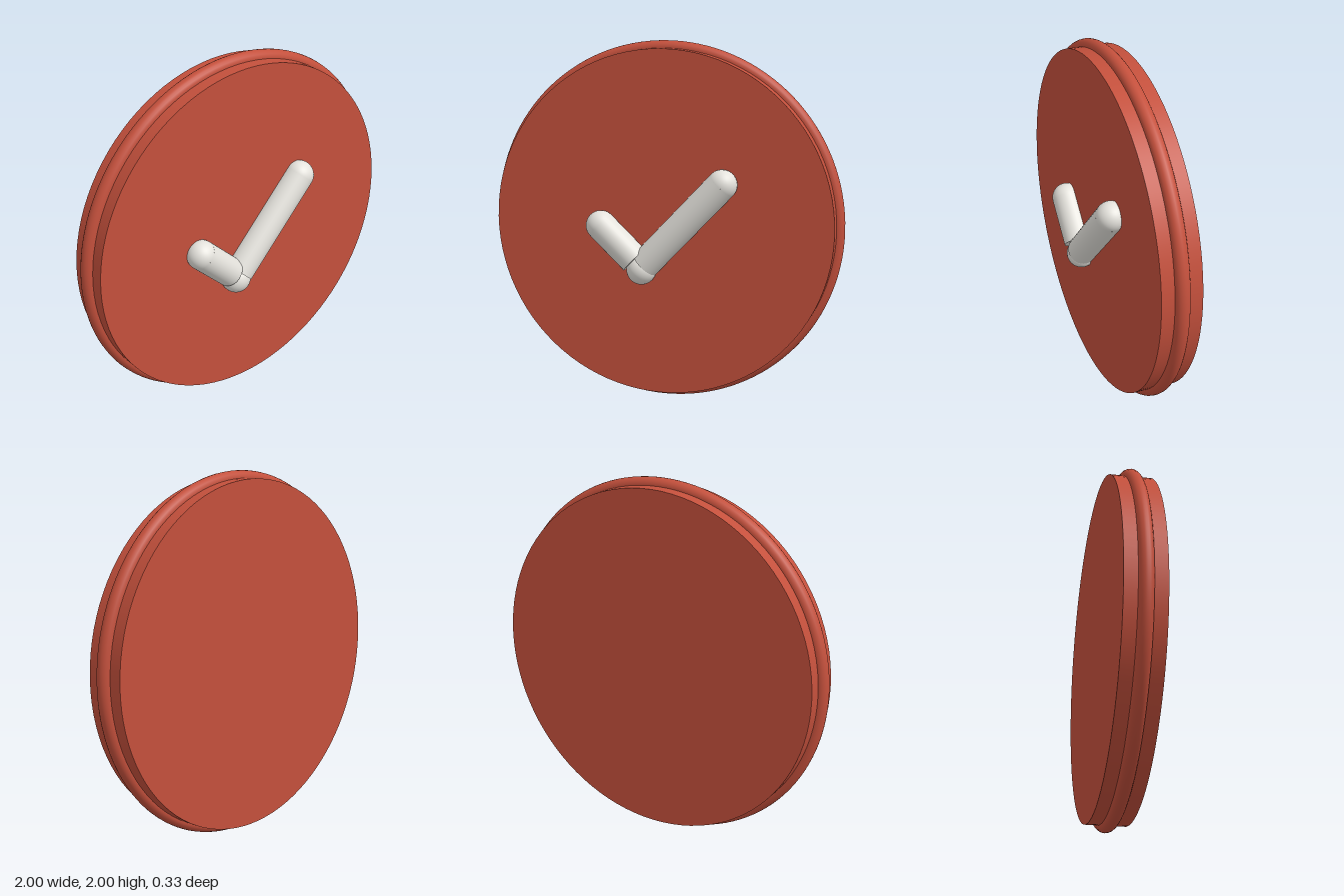
import * as THREE from 'three';

export function createModel() {
  const model = new THREE.Group();
  const red = new THREE.MeshStandardMaterial({ color: 0xc4503c });
  red.name = 'brick red';
  const white = new THREE.MeshStandardMaterial({ color: 0xe4e2dc });
  white.name = 'off white';

  const add = (parent, name, geometry, material, x, y, z) => {
    const mesh = new THREE.Mesh(geometry, material);
    mesh.name = name;
    mesh.position.set(x, y, z);
    parent.add(mesh);
    return mesh;
  };

  // Round badge standing on edge, with a half-sunk bead around its rim
  const disc = new THREE.CylinderGeometry(0.96, 0.96, 0.224, 96).rotateX(Math.PI / 2);
  add(model, 'disc', disc, red, 0, 1, -0.056);
  add(model, 'rimBead', new THREE.TorusGeometry(0.96, 0.04, 20, 128), red, 0, 1, -0.056);

  // Raised check mark: two rods with ball ends and a ball at the corner
  const check = new THREE.Group();
  check.name = 'checkMark';
  model.add(check);
  const z = 0.084;
  const rod = (name, a, b, radius) => {
    const from = new THREE.Vector3(...a, z);
    const to = new THREE.Vector3(...b, z);
    const dir = to.clone().sub(from);
    const mid = from.clone().add(to).multiplyScalar(0.5);
    const mesh = add(check, name, new THREE.CylinderGeometry(radius, radius, dir.length(), 32),
      white, mid.x, mid.y, mid.z);
    mesh.quaternion.setFromUnitVectors(new THREE.Vector3(0, 1, 0), dir.normalize());
  };
  const ball = (name, x, y, radius) =>
    add(check, name, new THREE.SphereGeometry(radius, 32, 20), white, x, y, z);

  rod('shortStroke', [-0.335, 0.985], [-0.14, 0.8], 0.083);
  rod('longStroke', [-0.08, 0.78], [0.353, 1.24], 0.083);
  ball('shortEnd', -0.335, 0.985, 0.083);
  ball('corner', -0.1, 0.748, 0.083);
  ball('longEnd', 0.353, 1.24, 0.083);

  return model;
}
